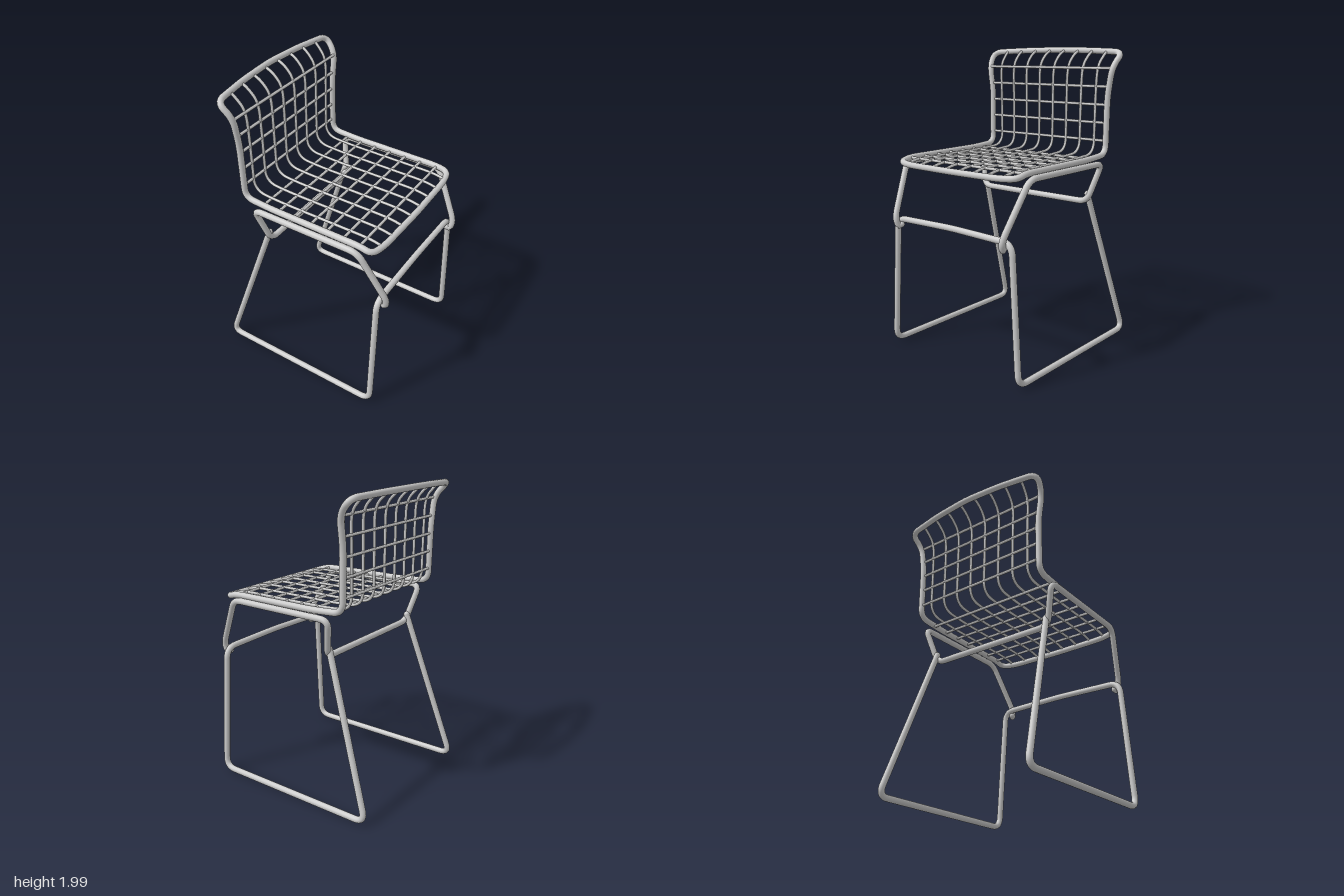
import * as THREE from 'three';

const ROD = 0.021;
const WIRE = 0.0098;
const material = new THREE.MeshStandardMaterial({ color: 0xcccccc });
const v = (p) => new THREE.Vector3(...p);

// Path of straight runs whose corners are rounded by up to the given radius
function roundedPath(points, radius, closed = false) {
  const pts = points.map(v);
  const n = pts.length;
  const path = new THREE.CurvePath();
  const near = (a, b) => {
    const length = a.distanceTo(b);
    return a.clone().lerp(b, Math.min(radius, length * 0.48) / length);
  };
  const first = closed ? near(pts[0], pts[1]) : pts[0];
  let last = first;
  for (let i = 1; i < (closed ? n + 1 : n - 1); i++) {
    const p = pts[i % n];
    const a = near(p, pts[(i - 1) % n]);
    const b = near(p, pts[(i + 1) % n]);
    path.add(new THREE.LineCurve3(last, a));
    path.add(new THREE.QuadraticBezierCurve3(a, p, b));
    last = b;
  }
  if (!closed) path.add(new THREE.LineCurve3(last, pts[n - 1]));
  return path;
}

// Bent round bar, with domed ends when open
function bar(name, points, r, radius, closed = false) {
  const group = new THREE.Group();
  group.name = name;
  const path = roundedPath(points, radius, closed);
  const steps = points.length === 2 ? 2 : Math.ceil(path.getLength() * 60);
  const sides = r > 0.015 ? 14 : 8;
  group.add(new THREE.Mesh(new THREE.TubeGeometry(path, steps, r, sides, closed), material));
  if (!closed) {
    for (const p of [points[0], points[points.length - 1]]) {
      const end = new THREE.Mesh(new THREE.SphereGeometry(r, sides, 8), material);
      end.position.set(...p);
      group.add(end);
    }
  }
  group.children.forEach((mesh) => { mesh.name = name; });
  return group;
}

// Half path ending on the centre plane, continued by its mirror image
function mirrored(half, closed = false) {
  const other = half.slice(closed ? 1 : 0, -1).reverse().map(([x, y, z]) => [x, y, -z]);
  return [...half, ...other];
}

export function createModel() {
  const chair = new THREE.Group();
  chair.name = 'wireChair';

  // Sled base: both side loops joined by the front crossbar
  chair.add(bar('sledBase', mirrored([
    [-0.277, 1.05, 0.447], [-0.615, 0.032, 0.543], [0.553, 0.028, 0.543],
    [0.55, 0.893, 0.488], [0.55, 0.904, 0],
  ]), ROD, 0.075));

  // Seat support: hooked front ends, side rails and the rear crossbar
  chair.add(bar('seatSupport', mirrored([
    [0.565, 0.86, 0.44], [0.585, 0.848, 0.448], [0.602, 0.91, 0.458], [0.43, 1.253, 0.522],
    [-0.325, 1.253, 0.522], [-0.265, 1.0, 0.45], [-0.265, 1.0, 0],
  ]), ROD, 0.06));

  // Closed rim around the seat and back
  chair.add(bar('shellRim', mirrored([
    [0.535, 1.253, 0], [0.528, 1.254, 0.38], [0.508, 1.262, 0.492], [0.43, 1.283, 0.493],
    [-0.2, 1.288, 0.493], [-0.408, 1.302, 0.493], [-0.412, 1.68, 0.495],
    [-0.412, 1.872, 0.525], [-0.495, 1.964, 0.55], [-0.53, 1.975, 0.27], [-0.546, 1.979, 0],
  ], true), ROD, 0.068, true));

  // Long wires running from the front edge over the seat and up the back
  const longWires = new THREE.Group();
  longWires.name = 'longWires';
  for (let i = 0; i < 8; i++) {
    const z = (i - 3.5) * 0.115;
    const topX = -0.54 + 0.17 * z * z;
    longWires.add(bar('longWire', [
      [0.53, 1.264, z], [0.44, 1.283, z], [-0.2, 1.286, z], [-0.407, 1.3, z],
      [-0.407, 1.68, z * 1.01], [-0.407, 1.873, z * 1.03], [-0.475, 1.95, z * 1.05],
      [topX, 1.978, z * 1.06],
    ], WIRE, 0.09));
  }
  chair.add(longWires);

  // Cross wires of the seat
  const crossWires = new THREE.Group();
  crossWires.name = 'crossWires';
  for (let i = 0; i < 7; i++) {
    const x = -0.28 + i * 0.1173;
    crossWires.add(bar('seatCrossWire', [[x, 1.281, -0.485], [x, 1.281, 0.485]], WIRE, 0));
  }
  // Cross wires of the back, following the flare of the rim
  for (let i = 0; i < 5; i++) {
    const y = 1.39 + i * 0.118;
    const z = 0.49 + Math.max(0, y - 1.68) * 0.16;
    crossWires.add(bar('backCrossWire', [[-0.411, y, -z], [-0.411, y, z]], WIRE, 0));
  }
  chair.add(crossWires);

  return chair;
}
